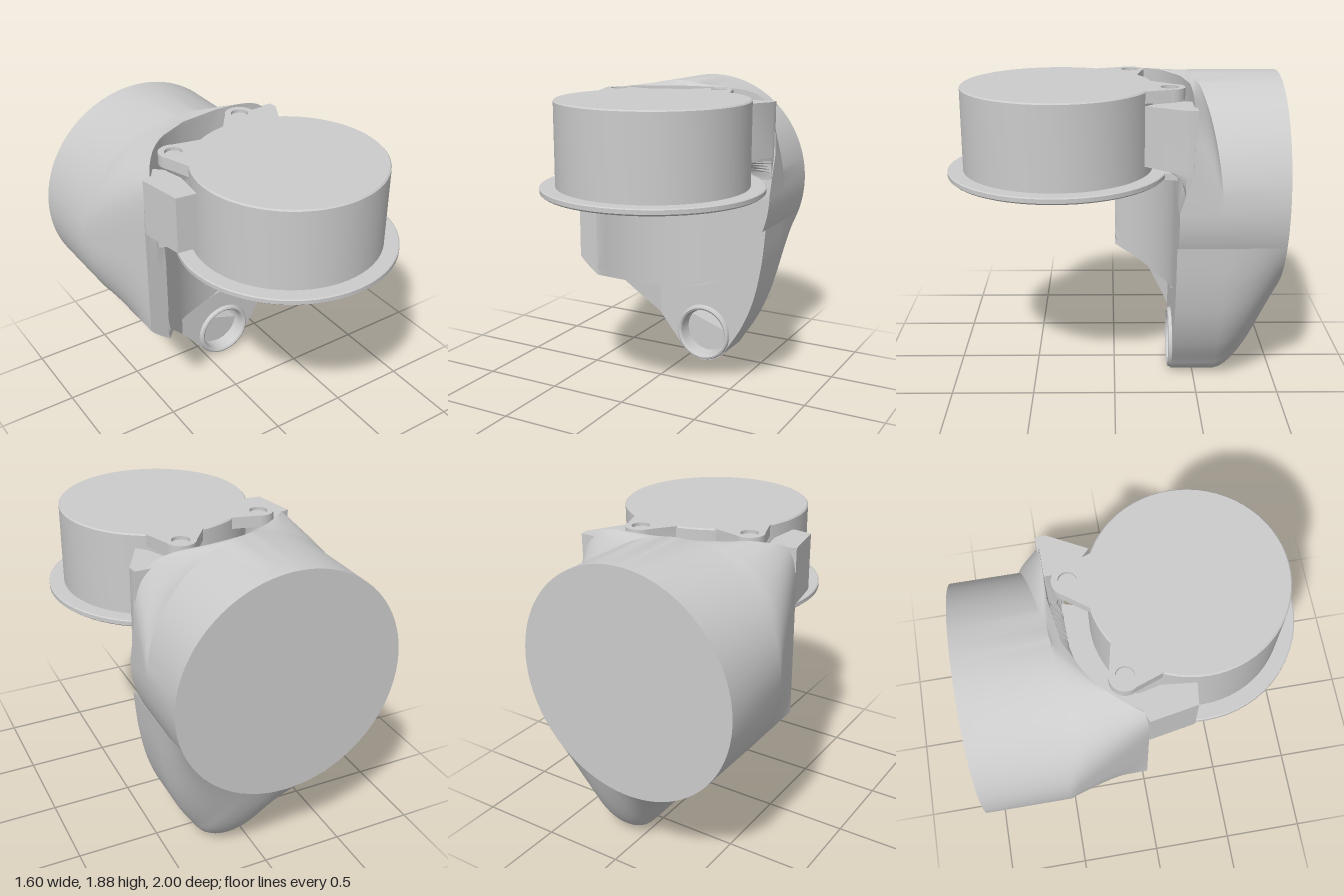
import * as THREE from 'three';
import { toCreasedNormals } from 'three/addons/utils/BufferGeometryUtils.js';

const material = new THREE.MeshStandardMaterial({ color: 0xcccccc, side: THREE.DoubleSide });
const TAU = Math.PI * 2;
const { lerp, smoothstep, degToRad } = THREE.MathUtils;

function add(group, name, geometry, x = 0, y = 0, z = 0) {
  const mesh = new THREE.Mesh(geometry, material);
  mesh.name = name;
  mesh.position.set(x, y, z);
  group.add(mesh);
  return mesh;
}

// Skin between successive rings of [x, y, z] points.
function loft(rings, crease = 0.6) {
  const n = rings[0].length;
  const index = [];
  for (let i = 0; i < rings.length - 1; i++) {
    for (let j = 0; j < n - 1; j++) {
      const a = i * n + j, b = a + 1, c = a + n, d = c + 1;
      index.push(a, b, c, b, d, c);
    }
  }
  const g = new THREE.BufferGeometry();
  g.setAttribute('position', new THREE.Float32BufferAttribute(rings.flat(2), 3));
  g.setIndex(index);
  g.computeVertexNormals();
  return toCreasedNormals(g, crease);
}

// Upright prism from a plan outline in x, z.
function prism(shape, top, height) {
  const g = new THREE.ExtrudeGeometry(shape, { depth: height, bevelEnabled: false, curveSegments: 24 });
  g.rotateX(Math.PI / 2);
  g.translate(0, top, 0);
  return toCreasedNormals(g, 0.6);
}

const outlineOf = pts => new THREE.Shape(pts.map(p => new THREE.Vector2(...p)));
const CX = -0.11, CY = 1.19, R = 0.69;      // round body
const KX = 0.135, KZ = 0.34;                // cap axis

// Concave front of the body, wrapped round the cap; flat to the right of its axis.
function frontZ(x, y) {
  const r = 0.71 + 0.075 * smoothstep(y, 1.35, 1.43);
  const dx = Math.min(0, x - KX);
  return Math.min(-0.01, KZ - Math.sqrt(Math.max(0, r * r - dx * dx)));
}

function bodyGeometry() {
  const N = 120;
  const ring = fn => Array.from({ length: N + 1 }, (_, j) => fn(j / N * TAU));
  const circle = (r, z) => ring(t => [CX + r * Math.cos(t), CY + r * Math.sin(t), z(t)]);
  const blendStart = t => -0.5 - 0.12 * Math.max(0, Math.cos(t)) + 0.04 * Math.max(0, Math.sin(t));
  // Front outline: round below, squared off above, falling toward the brackets
  const lip = t => {
    const c = Math.cos(t), s = Math.sin(t);
    if (s <= 0) return [Math.max(-0.62, CX + R * c), CY + R * s];
    const e = 1 / 3;
    const x = CX + Math.sign(c) * Math.pow(Math.abs(c), e) * (c < 0 ? 0.51 : 0.69);
    const drop = 0.35 * Math.max(0, -0.42 - x, x - 0.38);
    return [x, Math.min(CY + 0.66 * Math.pow(s, e), 1.85 - drop)];
  };
  const rings = [circle(0.001, () => -1), circle(R, () => -1), circle(R, blendStart)];
  for (let k = 1; k <= 8; k++) {
    const u = k / 8;
    rings.push(ring(t => {
      const [x, y] = lip(t);
      return [
        lerp(CX + R * Math.cos(t), x, u),
        lerp(CY + R * Math.sin(t), y, Math.pow(u, 0.7)),
        lerp(blendStart(t), frontZ(x, y), u)];
    }));
  }
  for (let k = 1; k <= 24; k++) {
    const s = Math.max(0.001, 1 - k / 24);
    rings.push(ring(t => {
      const [lx, ly] = lip(t);
      const x = CX + (lx - CX) * s, y = CY + (ly - CY) * s;
      return [x, y, frontZ(x, y)];
    }));
  }
  return loft(rings, 0.5);
}

function addHopper(group) {
  const path = new THREE.Path();
  path.moveTo(-0.43, 0.57);
  path.lineTo(-0.23, 0.33);
  path.absarc(0.13, 0.195, 0.195, 3.84, 5.85, false);
  path.splineThru([[0.41, 0.28], [0.49, 0.48], [0.54, 0.72], [0.565, 0.97]].map(p => new THREE.Vector2(...p)));
  const outer = path.getSpacedPoints(70);
  const inner = outer.map((_, i) => {
    const t = degToRad(242 + 99 * i / 70);
    return new THREE.Vector2(CX + R * Math.cos(t), CY + R * Math.sin(t));
  });
  const fold = -0.2;
  const slopeZ = x => -0.36 + (fold - x) * 0.75;
  // Chin wall, curving up into the round body at the back
  const rings = [];
  for (let k = 0; k <= 10; k++) {
    const u = 1 - k / 10, f = 1 - Math.pow(u, 1.7);
    rings.push(outer.map((p, i) => {
      const q = inner[i].clone().lerp(p, f);
      return [q.x, q.y, -0.63 - 0.37 * u];
    }));
  }
  rings.push(outer.map(p => [p.x, p.y, Math.max(-0.36, slopeZ(p.x))]));
  add(group, 'hopperWall', loft(rings));
  // Flat front plate with the outlet opening
  const outline = [...outer, ...inner.slice(1, -1).reverse()];
  const plate = new THREE.Shape(outline.filter(p => p.x > fold - 0.04));
  const hole = new THREE.Path();
  hole.absarc(0.13, 0.2, 0.165, 0, TAU, true);
  plate.holes.push(hole);
  add(group, 'hopperFace', new THREE.ShapeGeometry(plate, 32), 0, 0, -0.36);
  // Sloping cheek meeting the plate along the fold
  const cheek = new THREE.ShapeGeometry(new THREE.Shape(outline.filter(p => p.x < fold + 0.04)));
  const pos = cheek.attributes.position;
  for (let i = 0; i < pos.count; i++) pos.setZ(i, slopeZ(pos.getX(i)));
  cheek.computeVertexNormals();
  add(group, 'hopperCheek', cheek);
}

// Rounded lug reaching from the cap out to a screw.
function addEar(group, x, z) {
  const dir = Math.atan2(z - KZ, x - KX), r = 0.09;
  const shape = new THREE.Shape();
  const at = (rad, a) => [KX + rad * Math.cos(a), KZ + rad * Math.sin(a)];
  shape.moveTo(...at(0.5, dir - 0.36));
  shape.lineTo(...at(0.565, dir - 0.3));
  shape.absarc(x, z, r, dir - 1.35, dir + 1.35, false);
  shape.lineTo(...at(0.565, dir + 0.3));
  shape.lineTo(...at(0.5, dir + 0.36));
  const hole = new THREE.Path();
  hole.absarc(x, z, 0.053, 0, TAU, true);
  shape.holes.push(hole);
  add(group, 'capEar', prism(shape, 1.85, 0.07));
  add(group, 'screwHead', new THREE.CylinderGeometry(0.053, 0.053, 0.05, 20), x, 1.805, z);
}

// Curved support flaring out from the body up to the underside of a bracket.
function bracketFillet(plan) {
  const rings = [];
  for (let k = 8; k >= 0; k--) {
    const u = k / 8, f = 1 - Math.sqrt(1 - u * u);
    rings.push([...plan, plan[0]].map(([x, z]) => [x, 1.28 + 0.15 * u, lerp(Math.min(z, -0.4), z, f)]));
  }
  return loft(rings);
}

export function createModel() {
  const model = new THREE.Group();
  model.name = 'housing';
  add(model, 'roundBody', bodyGeometry());
  addHopper(model);

  // Outlet ring with a hollow bore
  const rim = [[0.195, -0.5], [0.195, -0.36], [0.187, -0.342], [0.175, -0.337], [0.162, -0.345],
    [0.155, -0.37], [0.15, -0.6], [0.001, -0.6]].map(p => new THREE.Vector2(...p));
  const nozzle = new THREE.LatheGeometry(rim, 40).rotateX(Math.PI / 2);
  add(model, 'outletNozzle', toCreasedNormals(nozzle, 0.7), 0.13, 0.2, 0);
  const segment = new THREE.Shape();
  segment.absarc(0, 0, 0.153, Math.PI - 0.3, TAU + 0.3, false);
  const vane = add(model, 'outletVane',
    new THREE.ExtrudeGeometry(segment, { depth: 0.16, bevelEnabled: false, curveSegments: 24 }), 0.13, 0.2, -0.6);
  vane.rotation.z = -0.33;

  // Round cap with a flange at its foot
  const profile = [[0.001, 1.31], [0.65, 1.31], [0.662, 1.32], [0.662, 1.345], [0.655, 1.35],
    [0.57, 1.35], [0.57, 1.842], [0.562, 1.85], [0.001, 1.85]].map(p => new THREE.Vector2(...p));
  add(model, 'cap', toCreasedNormals(new THREE.LatheGeometry(profile, 64), 0.5), KX, 0, KZ);
  addEar(model, -0.36, -0.1);
  addEar(model, 0.24, -0.32);

  // Ledge closing the gap between flange and body
  const ledge = new THREE.Shape();
  ledge.absarc(KX, KZ, 0.78, -2.66, -1.3, false);
  ledge.absarc(KX, KZ, 0.63, -1.3, -2.66, true);
  add(model, 'recessLedge', prism(ledge, 1.35, 0.04));

  // Brackets either side of the cap
  const rightPlan = [[-0.615, -0.01], [-0.565, 0.265], [-0.44, 0.28], [-0.42, 0.08],
    [-0.44, 0], [-0.45, -0.05], [-0.5, -0.1], [-0.55, -0.03]];
  const leftPlan = [[0.575, -0.4], [0.45, -0.17], [0.4, -0.22], [0.32, -0.4], [0.32, -0.46], [0.57, -0.46]];
  add(model, 'rightBracket', prism(outlineOf(rightPlan), 1.78, 0.35));
  add(model, 'leftBracket', prism(outlineOf(leftPlan), 1.78, 0.35));
  add(model, 'leftBracketFillet', bracketFillet(leftPlan));
  return model;
}
